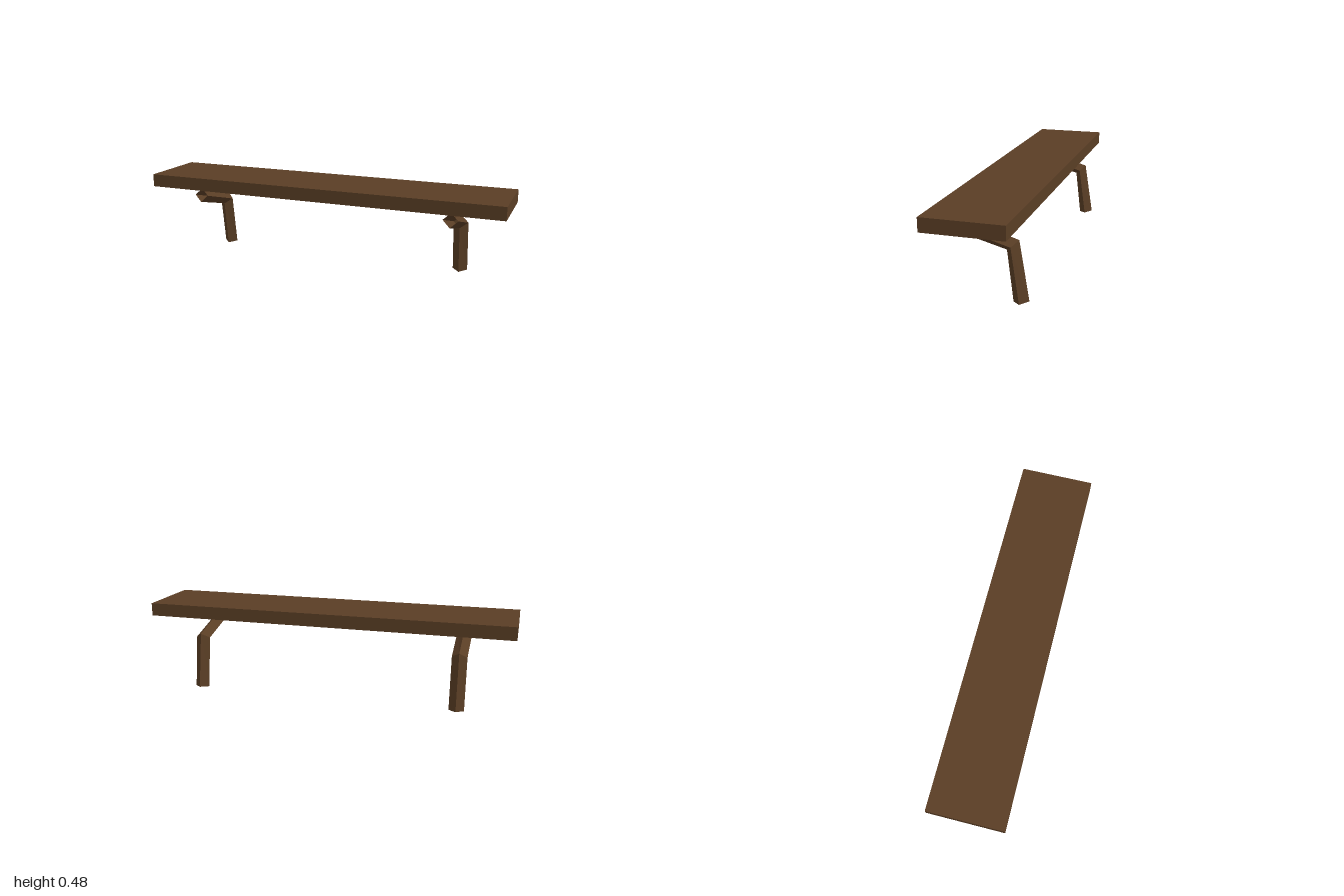
import * as THREE from 'three';

// Bent leg: an open square tube set on its corner, swept through three rings.
function legGeometry() {
  // each ring: [z, y] of its outer ridge, then of its inner ridge
  const rings = [
    [[0.14, 0.404], [0.16, 0.329]],
    [[-0.16, 0.313], [-0.1, 0.26]],
    [[-0.208, 0.013], [-0.13, 0.002]],
  ].map(([[z1, y1], [z2, y2]]) => {
    const z = (z1 + z2) / 2, y = (y1 + y2) / 2;
    return [[0, y1, z1], [0.04, y, z], [0, y2, z2], [-0.04, y, z]];
  });

  const positions = [];
  for (let i = 0; i < rings.length - 1; i++) {
    for (let k = 0; k < 4; k++) {
      const n = (k + 1) % 4;
      const a = rings[i][k], b = rings[i][n];
      const c = rings[i + 1][n], d = rings[i + 1][k];
      positions.push(...a, ...b, ...d, ...b, ...c, ...d);
    }
  }
  const geometry = new THREE.BufferGeometry();
  geometry.setAttribute('position', new THREE.Float32BufferAttribute(positions, 3));
  geometry.computeVertexNormals();
  return geometry;
}

export function createModel() {
  const group = new THREE.Group();
  group.name = 'bench';

  const wood = new THREE.MeshStandardMaterial({ color: 0x5a3e25, side: THREE.DoubleSide, flatShading: true });
  wood.name = 'dark brown wood';

  // Seat plank
  const seat = new THREE.Mesh(new THREE.BoxGeometry(2, 0.07, 0.4), wood);
  seat.name = 'seat';
  seat.position.set(0, 0.443, 0.01);
  group.add(seat);

  // A bent leg near each end
  const geometry = legGeometry();
  for (const side of [1, -1]) {
    const leg = new THREE.Mesh(geometry, wood);
    leg.name = side > 0 ? 'leftLeg' : 'rightLeg';
    leg.position.x = side * 0.72;
    group.add(leg);
  }
  return group;
}
